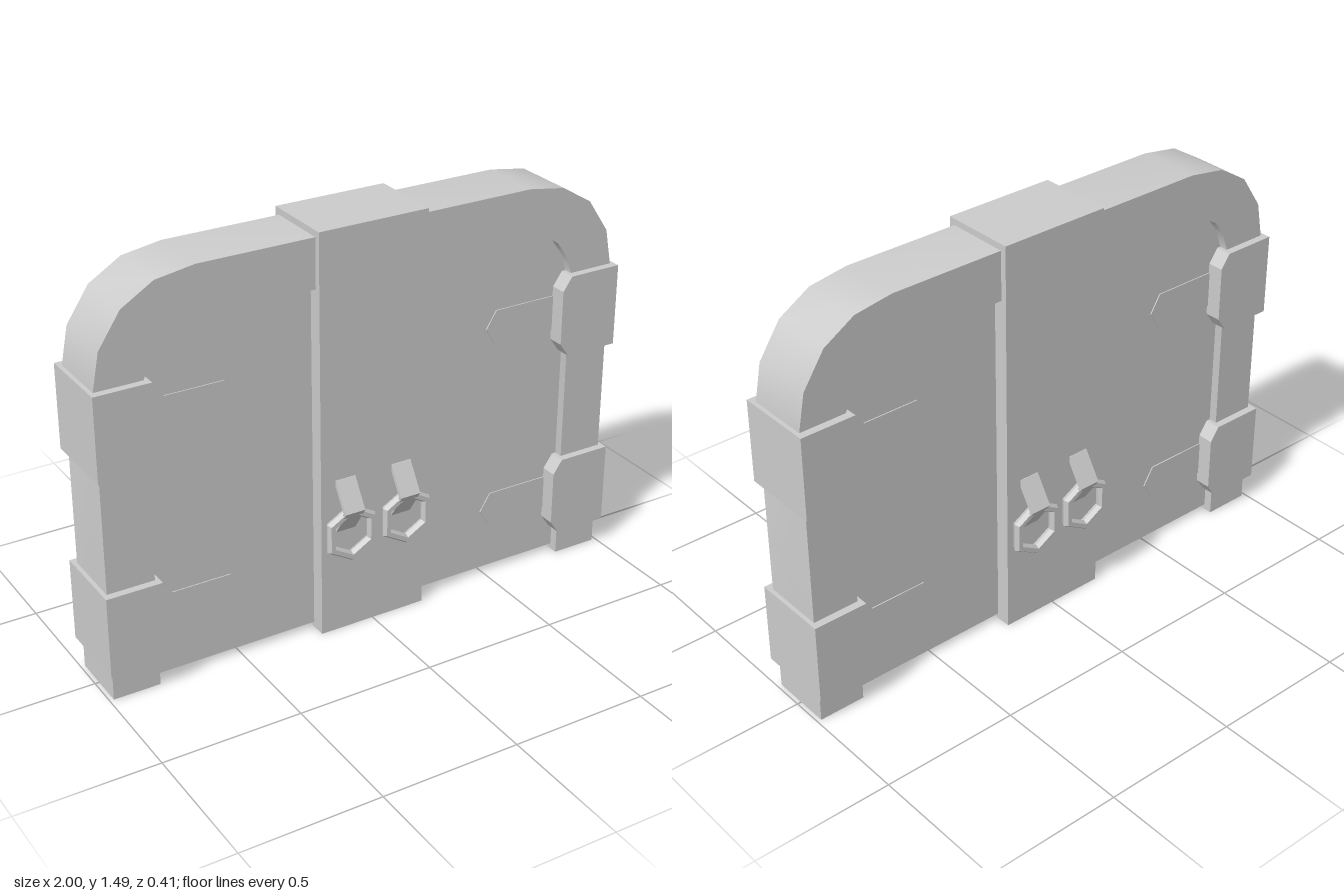
import * as THREE from 'three';
import { toCreasedNormals } from 'three/addons/utils/BufferGeometryUtils.js';

const material = new THREE.MeshStandardMaterial({ color: 0xcccccc });

// Outline in the xy plane, extruded evenly to both sides of z = 0
function slab(points, depth) {
  const shape = new THREE.Shape(points.map(([x, y]) => new THREE.Vector2(x, y)));
  const geometry = new THREE.ExtrudeGeometry(shape, { depth, bevelEnabled: false });
  return geometry.translate(0, 0, -depth / 2);
}

function add(parent, name, geometry) {
  const mesh = new THREE.Mesh(geometry, material);
  mesh.name = name;
  parent.add(mesh);
  return mesh;
}

function box(parent, name, w, h, d, y) {
  return add(parent, name, new THREE.BoxGeometry(w, h, d).translate(0, y, 0));
}

const mirrored = (half) => half.map(([x, y]) => [-x, y]).reverse();
const flip = (points, s) => points.map(([x, y]) => [x * s, y]);

// Bent strap holding a hanging hexagonal ring, facing +z
function createHandle() {
  const handle = new THREE.Group();
  handle.name = 'handle';
  const profile = [
    [0.13, 0.59], [0.139, 0.588], [0.203, 0.487], [0.139, 0.39],
    [0.13, 0.39], [0.13, 0.402], [0.187, 0.485], [0.13, 0.575],
  ];
  // Profile is given as (z, y)
  add(handle, 'handleStrap', slab(profile, 0.076).rotateY(-Math.PI / 2));
  const ring = new THREE.TorusGeometry(0.09, 0.018, 6, 6).rotateZ(Math.PI / 6);
  add(handle, 'handleRing', toCreasedNormals(ring, 0.9)).position.set(0, 0.397, 0.174);
  return handle;
}

export function createModel() {
  const gate = new THREE.Group();
  gate.name = 'archedDoubleGate';

  // Arched frame with chunky rounded corners
  const outer = [[0.985, 0], [0.985, 1.12], [0.96, 1.25], [0.88, 1.37], [0.765, 1.44], [0.625, 1.462]];
  const inner = [[0.815, 0], [0.815, 1.12], [0.79, 1.19], [0.75, 1.245], [0.7, 1.275], [0.63, 1.285]];
  const outline = [...outer, ...mirrored(outer), ...flip(inner, -1), ...[...inner].reverse()];
  add(gate, 'frame', toCreasedNormals(slab(outline, 0.23), 0.6));

  // Door leaves and the post covering their seam
  box(gate, 'doorPanel', 1.8, 1.3, 0.166, 0.67);
  box(gate, 'centrePost', 0.41, 1.485, 0.274, 0.7425);

  // Hinge clamps around the frame, with pointed straps on both faces
  const clamp = [[1, -0.15], [1, 0.15], [0.8, 0.15], [0.765, 0.1], [0.765, -0.1], [0.8, -0.15]];
  const strap = [[0.8, -0.065], [0.8, 0.065], [0.525, 0.065], [0.485, 0], [0.525, -0.065]];
  for (const side of [-1, 1]) {
    for (const y of [0.254, 0.97]) {
      const hinge = new THREE.Group();
      hinge.name = 'hinge';
      hinge.position.y = y;
      add(hinge, 'hingeClamp', slab(flip(clamp, side), 0.286));
      add(hinge, 'hingeStrap', slab(flip(strap, side), 0.174));
      gate.add(hinge);
    }
    // Handles on the front and back of the post
    for (const turn of [0, Math.PI]) {
      const handle = createHandle();
      handle.position.x = side * 0.11;
      handle.rotation.y = turn;
      gate.add(handle);
    }
  }
  return gate;
}
